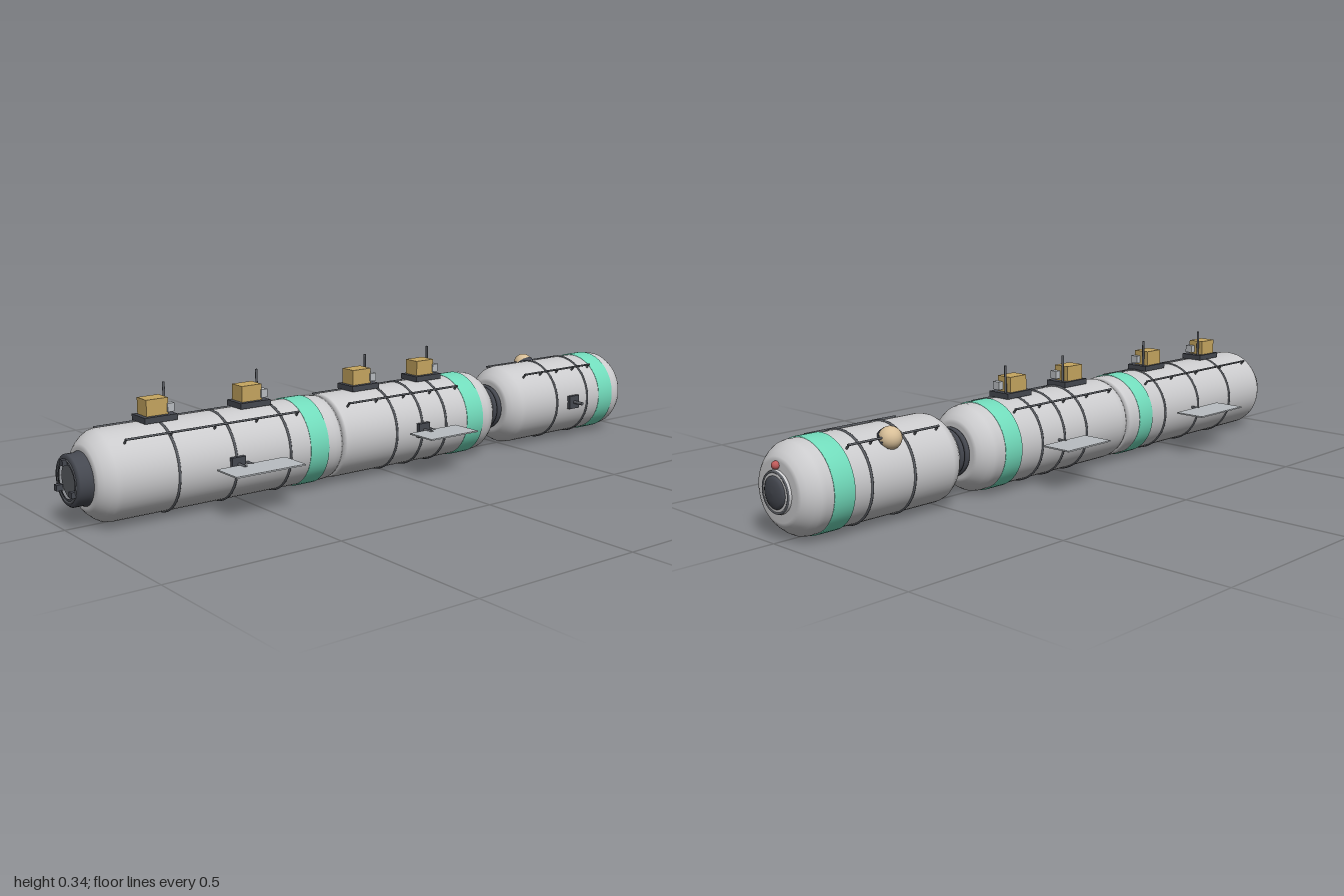
import * as THREE from 'three';

const mat = (name, color, side = THREE.FrontSide) => {
  const m = new THREE.MeshStandardMaterial({ color, side });
  m.name = name;
  return m;
};

export function createModel() {
  const hull = mat('hull grey', 0xcbcbcd);
  const dark = mat('dark metal', 0x454850);
  const seam = mat('seam grey', 0x5c5f65);
  const teal = mat('teal band', 0x72dcbc);
  const gold = mat('gold foil', 0xc6a660);
  const tan = mat('tan tank', 0xd8bf98);
  const red = mat('red beacon', 0xc05a5a);
  const panelGrey = mat('panel grey', 0xb9bdc1);

  const R = 0.123, CY = 0.128;
  const model = new THREE.Group();
  model.name = 'spaceStation';
  const station = new THREE.Group();
  station.name = 'station';
  station.position.y = CY; // everything below is relative to the long axis
  model.add(station);

  const add = (name, geo, material, x = 0, y = 0, z = 0) => {
    const m = new THREE.Mesh(geo, material);
    m.name = name;
    m.position.set(x, y, z);
    station.add(m);
    return m;
  };
  // Surface of revolution along x from [x, radius] pairs
  const turned = (name, pts, material, seg = 48) => {
    const geo = new THREE.LatheGeometry(pts.map(([x, r]) => new THREE.Vector2(r, x)), seg);
    geo.rotateZ(-Math.PI / 2);
    return add(name, geo, material);
  };
  const ring = (name, x, r, tube, material) => {
    const geo = new THREE.TorusGeometry(r, tube, 8, 48);
    geo.rotateY(Math.PI / 2);
    return add(name, geo, material, x);
  };
  const box = (name, w, h, d, material, x, y, z) =>
    add(name, new THREE.BoxGeometry(w, h, d), material, x, y, z);
  const rod = (name, a, b, r, material) => {
    const from = new THREE.Vector3(...a), to = new THREE.Vector3(...b);
    const dir = to.clone().sub(from);
    const m = add(name, new THREE.CylinderGeometry(r, r, dir.length(), 10), material);
    m.position.copy(from).addScaledVector(dir, 0.5);
    m.quaternion.setFromUnitVectors(new THREE.Vector3(0, 1, 0), dir.normalize());
    return m;
  };

  // Rounded end: [distance from tip, radius]
  const roundEnd = [[0, 0], [0, 0.078], [0.004, 0.088], [0.014, 0.1], [0.028, 0.112], [0.042, 0.12], [0.056, R]];
  const jointEnd = [[0, 0], [0, 0.117], [0.012, 0.121], [0.03, R]];
  const modules = [
    { name: 'rear', x0: -0.947, x1: -0.207, left: roundEnd, right: jointEnd, band: [-0.322, -0.262],
      rings: [-0.733, -0.561, -0.389], rail: [-0.866, -0.337], hatch: -0.561 },
    { name: 'middle', x0: -0.207, x1: 0.4, left: jointEnd, right: roundEnd, band: [0.257, 0.32],
      rings: [-0.016, 0.08, 0.172], rail: [-0.166, 0.246], hatch: 0.08 },
    { name: 'forward', x0: 0.455, x1: 0.98, left: roundEnd, right: roundEnd, band: [0.842, 0.904],
      rings: [0.647, 0.787], rail: [0.532, 0.832], hatch: 0.717 },
  ];

  for (const m of modules) {
    // Pressure hull, colour band and seams
    turned(m.name + 'Hull', [
      ...m.left.map(([d, r]) => [m.x0 + d, r]),
      ...m.right.map(([d, r]) => [m.x1 - d, r]).reverse(),
    ], hull);
    const [b0, b1] = m.band;
    turned(m.name + 'Band', [[b0, R - 0.001], [b0, 0.126], [b1, 0.126], [b1, R - 0.001]], teal);
    m.rings.forEach((x) => ring(m.name + 'Seam', x, R + 0.0005, 0.0035, seam));

    // Handrails on both upper flanks
    for (const s of [1, -1]) {
      const at = (x, r) => [x, r * 0.768, s * r * 0.64];
      const [r0, r1] = m.rail;
      rod(m.name + 'Handrail', at(r0, 0.137), at(r1, 0.137), 0.003, seam);
      for (let i = 0; i < 5; i++) {
        const x = r0 + 0.003 + (r1 - r0 - 0.006) * i / 4;
        rod(m.name + 'RailPost', at(x, 0.12), at(x, 0.139), 0.003, seam);
      }
    }

    // Side plate with a short spigot
    box(m.name + 'SidePlate', 0.042, 0.042, 0.012, dark, m.hatch, 0, 0.127);
    rod(m.name + 'Spigot', [m.hatch, 0, 0.13], [m.hatch, 0, 0.167], 0.0055, seam);
  }

  // Instrument packages along the top
  for (const x of [-0.733, -0.443, -0.064, 0.176]) {
    box('instrumentBase', 0.096, 0.016, 0.073, dark, x, 0.131, 0);
    box('instrumentBox', 0.064, 0.044, 0.051, gold, x - 0.004, 0.161, -0.0025);
    box('instrumentSensor', 0.02, 0.023, 0.024, panelGrey, x + 0.034, 0.156, 0.015);
    rod('antenna', [x + 0.038, 0.138, -0.018], [x + 0.038, 0.217, -0.018], 0.0035, seam);
  }

  // Flat side panels on short arms
  for (const [x, w] of [[-0.529, 0.214], [0.104, 0.178]]) {
    for (const s of [1, -1]) {
      box('sidePanel', w, 0.004, 0.097, panelGrey, x, 0, s * 0.1915);
      rod('panelArm', [x, 0, s * 0.115], [x, 0, s * 0.15], 0.004, seam);
    }
  }

  // Spherical tank on the forward module
  add('tank', new THREE.SphereGeometry(0.031, 28, 18), tan, 0.695, 0.1, -0.085);
  rod('tankMount', [0.695, 0.085, -0.068], [0.695, 0.102, -0.084], 0.032, dark);

  // Tunnel between the middle and forward modules
  turned('tunnel', [[0.395, 0.062], [0.46, 0.062]], dark);
  for (const x of [0.409, 0.428, 0.447]) ring('tunnelRib', x, 0.062, 0.008, dark);

  // Rear docking port
  turned('rearPort', [[-0.988, 0.046], [-0.988, 0.064], [-0.982, 0.069], [-0.955, 0.069], [-0.94, 0.075]], dark);
  ring('rearPortRim', -0.986, 0.055, 0.004, seam);
  turned('rearHatch', [[-0.98, 0], [-0.98, 0.047]], seam);
  for (let i = 0; i < 3; i++) {
    const a = Math.PI / 2 + i * Math.PI * 2 / 3;
    box('dockingLatch', 0.018, 0.016, 0.016, dark, -0.991, Math.sin(a) * 0.05, Math.cos(a) * 0.05);
  }

  // Forward docking port and beacon
  turned('forwardPort', [[0.975, 0.056], [0.986, 0.056], [0.989, 0.052], [0.989, 0.04]], hull);
  ring('forwardPortRim', 0.987, 0.052, 0.0035, seam);
  turned('forwardHatch', [[0.978, 0.043], [0.991, 0.042], [0.996, 0.034], [0.999, 0.018], [1, 0]], dark);
  add('beacon', new THREE.SphereGeometry(0.011, 20, 14), red, 0.984, 0.068, 0);

  return model;
}
